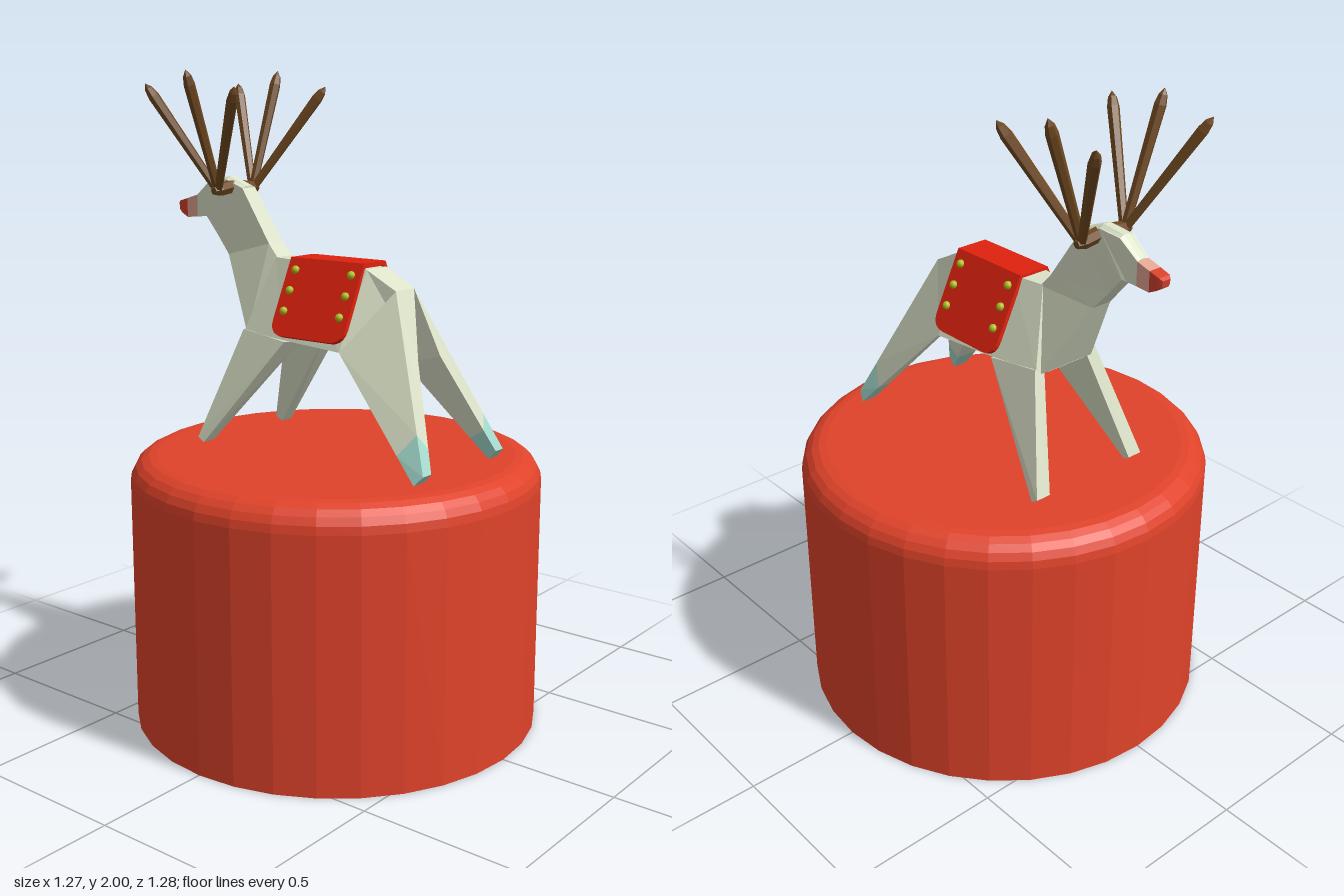
import * as THREE from 'three';

const mat = (name, color, opts = {}) => {
  const m = new THREE.MeshStandardMaterial({ color, ...opts });
  m.name = name;
  return m;
};

export function createModel() {
  const M = {
    drum: mat('drumRed', 0xe0432a),
    coat: mat('paleCoat', 0xdce2c8),
    hoof: mat('paleTeal', 0xa6dccf),
    muzzle: mat('softPink', 0xe3a592),
    nose: mat('noseRed', 0xd5402c),
    cloth: mat('blanketRed', 0xe0220e),
    antler: mat('antlerBrown', 0x6f4820),
    stud: mat('studYellowGreen', 0xaebb1c),
  };
  const model = new THREE.Group();
  model.name = 'reindeerOnDrum';

  const add = (parent, name, geo, material) => {
    const mesh = new THREE.Mesh(geo, material);
    mesh.name = name;
    parent.add(mesh);
    return mesh;
  };
  const flat = (geo) => {
    const g = geo.index ? geo.toNonIndexed() : geo;
    g.computeVertexNormals();
    return g;
  };

  // Closed faceted skin through equal-length rings; winding is made outward by volume sign
  const loft = (rings) => {
    const tris = [];
    const n = rings[0].length;
    const R = rings.map((r) => r.map((p) => new THREE.Vector3(...p)));
    for (let i = 0; i < R.length - 1; i++) {
      for (let j = 0; j < n; j++) {
        const k = (j + 1) % n;
        tris.push([R[i][j], R[i][k], R[i + 1][k]], [R[i][j], R[i + 1][k], R[i + 1][j]]);
      }
    }
    const last = R[R.length - 1];
    for (let j = 1; j < n - 1; j++) {
      tris.push([R[0][0], R[0][j + 1], R[0][j]], [last[0], last[j], last[j + 1]]);
    }
    const cross = new THREE.Vector3();
    const volume = tris.reduce((s, [a, b, c]) => s + a.dot(cross.crossVectors(b, c)), 0);
    if (volume < 0) tris.forEach((t) => t.reverse());
    return flat(new THREE.BufferGeometry().setFromPoints(tris.flat()));
  };
  // Ring symmetric in x from its +x half
  const sym = (half) => [...half, ...half.slice().reverse().map(([x, y, z]) => [-x, y, z])];
  const mixRing = (a, b, t) => a.map((p, i) => p.map((v, k) => v + (b[i][k] - v) * t));

  // Drum with rounded top edge
  const profile = [[0, 0], [0.635, 0], [0.635, 0.77]];
  for (let i = 1; i <= 5; i++) {
    const a = (i / 5) * Math.PI / 2;
    profile.push([0.555 + 0.08 * Math.cos(a), 0.77 + 0.08 * Math.sin(a)]);
  }
  profile.push([0, 0.85]);
  add(model, 'drum', flat(new THREE.LatheGeometry(profile.map((p) => new THREE.Vector2(...p)), 32)), M.drum);

  const deer = new THREE.Group();
  deer.name = 'reindeer';
  model.add(deer);

  // Torso, rump to shoulders: half rings of top, side, belly
  add(deer, 'torso', loft([
    [[0.045, 1.37, 0.258], [0.056, 1.175, 0.348], [0.056, 1.138, 0.22]],
    [[0.05, 1.425, 0.155], [0.15, 1.19, 0.13], [0.06, 1.172, 0.14]],
    [[0.05, 1.433, -0.1], [0.135, 1.2, -0.1], [0.06, 1.185, -0.1]],
    [[0.036, 1.435, -0.21], [0.115, 1.21, -0.272], [0.07, 1.195, -0.275]],
  ].map(sym)), M.coat);

  // Neck and head: half rings of upper and lower corner
  const muzzleBack = [[0.021, 1.61, -0.557], [0.021, 1.54, -0.557]];
  const noseBack = [[0.021, 1.597, -0.602], [0.02, 1.536, -0.602]];
  add(deer, 'neckAndHead', loft([
    [[0.036, 1.43, -0.2], [0.1, 1.196, -0.275]],
    [[0.034, 1.475, -0.24], [0.034, 1.43, -0.41]],
    [[0.03, 1.64, -0.352], [0.028, 1.486, -0.46]],
    [[0.028, 1.664, -0.42], [0.028, 1.545, -0.51]],
    [[0.026, 1.658, -0.495], [0.025, 1.543, -0.525]],
    muzzleBack,
  ].map(sym)), M.coat);
  add(deer, 'crown', loft([
    [[0.03, 1.64, -0.352], [0.012, 1.646, -0.352]],
    [[0.028, 1.662, -0.42], [0.012, 1.674, -0.42]],
    [[0.026, 1.656, -0.495], [0.01, 1.664, -0.495]],
    [[0.021, 1.608, -0.557], [0.008, 1.613, -0.557]],
  ].map(sym)), M.coat);
  add(deer, 'muzzle', loft([muzzleBack, noseBack].map(sym)), M.muzzle);
  add(deer, 'nose', loft([
    noseBack,
    [[0.02, 1.587, -0.636], [0.019, 1.55, -0.63]],
    [[0.014, 1.58, -0.645], [0.014, 1.56, -0.643]],
  ].map(sym)), M.nose);

  // Legs: rings run rear/front outer, then inner corners
  const hip = [[0.045, 1.37, 0.258], [0.056, 1.175, 0.348], [0.056, 1.138, 0.22], [0.15, 1.19, 0.13]];
  const hindFoot = [[0.208, 0.885, 0.477], [0.168, 0.885, 0.477], [0.168, 0.857, 0.452], [0.218, 0.857, 0.452]];
  const shoulder = [[0.12, 1.215, -0.272], [0.085, 1.195, -0.275], [0.06, 1.185, -0.095], [0.133, 1.195, -0.095]];
  const frontFoot = [[0.212, 0.87, -0.388], [0.162, 0.87, -0.388], [0.165, 0.855, -0.365], [0.212, 0.855, -0.365]];
  const ankle = mixRing(hip, hindFoot, 0.78);
  for (const s of [1, -1]) {
    const side = s > 0 ? 'left' : 'right';
    const flip = (ring) => ring.map(([x, y, z]) => [s * x, y, z]);
    add(deer, side + 'HindLeg', loft([hip, ankle].map(flip)), M.coat);
    add(deer, side + 'HindHoof', loft([ankle, hindFoot].map(flip)), M.hoof);
    add(deer, side + 'FrontLeg', loft([shoulder, frontFoot].map(flip)), M.coat);
  }

  // Saddle blanket: top strip and two rounded flaps with studs
  const blanket = new THREE.Group();
  blanket.name = 'blanket';
  blanket.position.z = 0.007;
  deer.add(blanket);
  const W = 0.14, L = 0.25, r = 0.05;
  add(blanket, 'blanketTop', new THREE.BoxGeometry(0.104, 0.014, 2 * W), M.cloth).position.y = 1.436;
  const shape = new THREE.Shape();
  shape.moveTo(-W, 0);
  shape.lineTo(W, 0);
  shape.lineTo(W, L - r);
  shape.quadraticCurveTo(W, L, W - r, L);
  shape.lineTo(-W + r, L);
  shape.quadraticCurveTo(-W, L, -W, L - r);
  const flapGeo = new THREE.ExtrudeGeometry(shape, { depth: 0.014, bevelEnabled: false, curveSegments: 5 });
  const down = new THREE.Vector3(0.431, -0.902, 0).normalize();
  const out = new THREE.Vector3(-down.y, down.x, 0);
  const basis = new THREE.Matrix4().makeBasis(new THREE.Vector3(0, 0, 1), down, out);
  basis.setPosition(0.04, 1.437, 0);
  flapGeo.applyMatrix4(basis);
  const studGeo = new THREE.SphereGeometry(0.013, 10, 8);
  for (const s of [1, -1]) {
    const flap = new THREE.Group();
    flap.name = s > 0 ? 'leftFlap' : 'rightFlap';
    flap.rotation.y = s > 0 ? 0 : Math.PI;
    blanket.add(flap);
    add(flap, 'flapCloth', flapGeo, M.cloth);
    for (const z of [-0.107, 0.107]) {
      for (const d of [0.04, 0.106, 0.172]) {
        add(flap, 'stud', studGeo, M.stud).position.set(0, d, 0.016).applyMatrix4(
          basis).setZ(z);
      }
    }
  }

  // Antlers: a cross bar with three spear-shaped tines on each side
  const up = new THREE.Vector3(0, 1, 0);
  const spear = (parent, name, from, to, radii) => {
    const a = new THREE.Vector3(...from), d = new THREE.Vector3(...to).sub(a);
    const len = d.length();
    const pts = radii.map(([t, rad]) => new THREE.Vector2(rad, t * len));
    const mesh = add(parent, name, flat(new THREE.LatheGeometry(pts, 6)), M.antler);
    mesh.position.copy(a);
    mesh.quaternion.setFromUnitVectors(up, d.normalize());
  };
  const tine = [[0, 0], [0, 0.013], [0.88, 0.018], [0.95, 0.013], [1, 0]];
  for (const s of [1, -1]) {
    const antler = new THREE.Group();
    antler.name = s > 0 ? 'leftAntler' : 'rightAntler';
    deer.add(antler);
    spear(antler, 'antlerBar', [0, 1.645, -0.408], [s * 0.1, 1.632, -0.408],
      [[0, 0], [0, 0.022], [0.75, 0.021], [1, 0.012], [1, 0]]);
    for (const [y, z] of [[2.0, -0.41], [1.96, -0.585], [1.95, -0.212]]) {
      spear(antler, 'tine', [s * 0.08, 1.63, -0.408], [s * 0.212, y, z], tine);
    }
  }
  return model;
}
